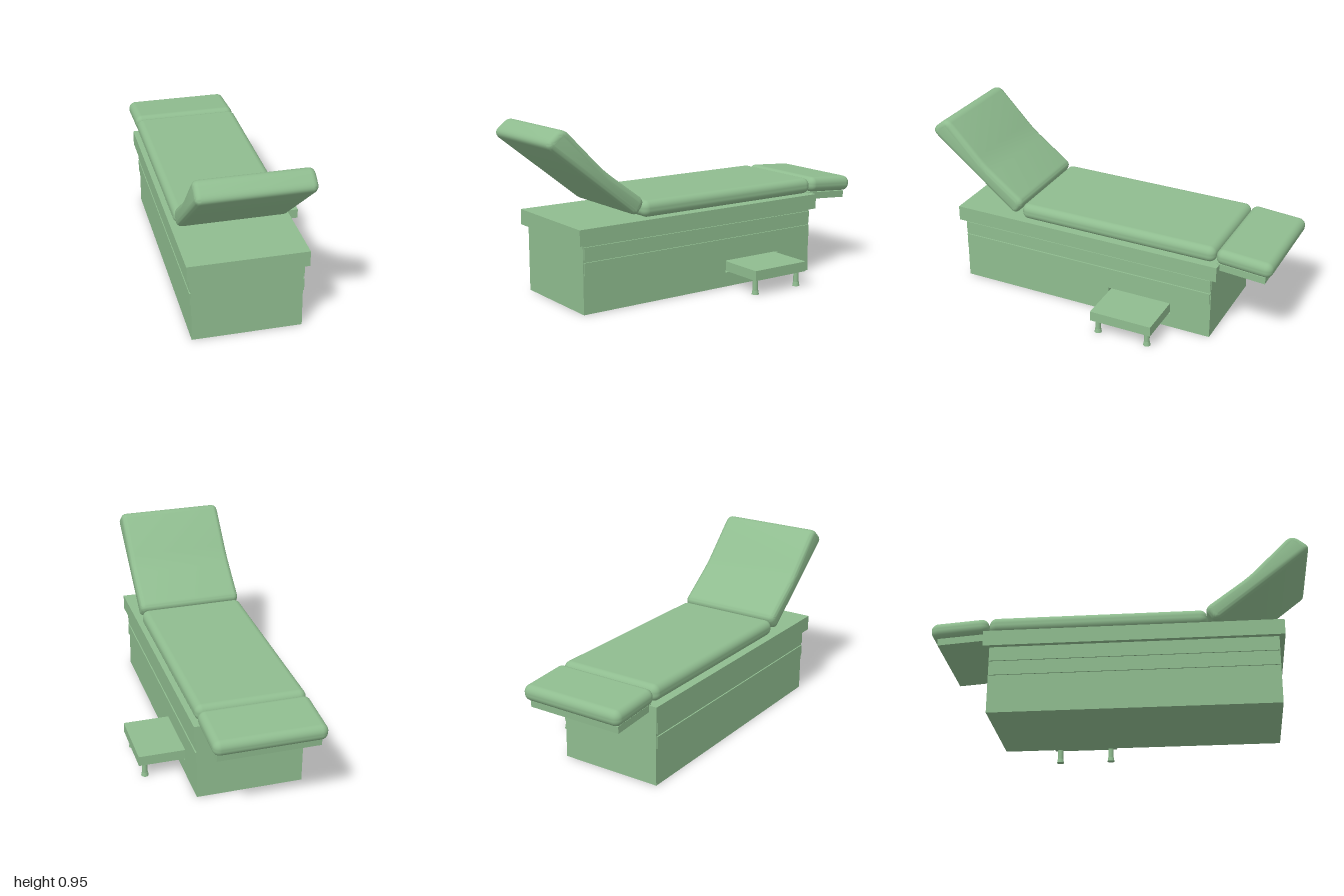
import * as THREE from 'three';
import { RoundedBoxGeometry } from 'three/addons/geometries/RoundedBoxGeometry.js';
import { toCreasedNormals } from 'three/addons/utils/BufferGeometryUtils.js';

const CENTER_X = -0.112;
const material = new THREE.MeshStandardMaterial({ color: 0x8fbc8f });

function add(parent, name, geometry, x = 0, y = 0, z = 0, tilt = 0) {
  const mesh = new THREE.Mesh(geometry, material);
  mesh.name = name;
  mesh.position.set(x, y, z);
  mesh.rotation.x = tilt;
  parent.add(mesh);
  return mesh;
}

// Box given by its extents along each axis
function addBox(parent, name, [x0, x1], [y0, y1], [z0, z1]) {
  return add(parent, name, new THREE.BoxGeometry(x1 - x0, y1 - y0, z1 - z0),
    (x0 + x1) / 2, (y0 + y1) / 2, (z0 + z1) / 2);
}

// Rectangle in the side plane (z, y)
function rectangle(Type, z0, z1, y0, y1) {
  return new Type([[z0, y0], [z1, y0], [z1, y1], [z0, y1]].map(p => new THREE.Vector2(...p)));
}

// Closed side outline whose corners are rounded by a cut distance each
function roundedOutline(corners) {
  const shape = new THREE.Shape();
  const points = corners.map(([z, y]) => new THREE.Vector2(z, y));
  const n = points.length;
  points.forEach((p, i) => {
    const cut = corners[i][2];
    const toward = q => p.clone().add(q.clone().sub(p).setLength(cut));
    const a = toward(points[(i + n - 1) % n]);
    const b = toward(points[(i + 1) % n]);
    if (i === 0) shape.moveTo(a.x, a.y);
    else shape.lineTo(a.x, a.y);
    shape.quadraticCurveTo(p.x, p.y, b.x, b.y);
  });
  shape.closePath();
  return shape;
}

export function createModel() {
  const model = new THREE.Group();
  model.name = 'examinationTable';

  // Cabinet: solid core plus a side wall holding the step recess
  const cabinet = new THREE.Group();
  cabinet.name = 'cabinet';
  model.add(cabinet);
  addBox(cabinet, 'cabinetCore', [-0.4, 0.1], [0, 0.366], [-0.68, 0.82]);
  const wall = rectangle(THREE.Shape, -0.68, 0.82, 0, 0.366);
  wall.holes.push(rectangle(THREE.Path, -0.45, -0.082, 0.08, 0.148));
  const wallGeometry = new THREE.ExtrudeGeometry(wall, { depth: 0.075, bevelEnabled: false });
  wallGeometry.rotateY(-Math.PI / 2);
  add(cabinet, 'cabinetSideWall', wallGeometry, 0.175);
  addBox(cabinet, 'tableTop', [-0.426, 0.2], [0.366, 0.45], [-0.712, 0.85]);

  // Two thin drawer fronts on each long side
  for (const side of [-1, 1]) {
    for (const y of [0.206, 0.286]) {
      const inner = CENTER_X + side * 0.28;
      const outer = CENTER_X + side * 0.295;
      addBox(cabinet, 'drawerFront', [Math.min(inner, outer), Math.max(inner, outer)],
        [y, y + 0.066], [-0.676, 0.816]);
    }
  }

  // Seat and foot cushions
  add(model, 'seatCushion', new RoundedBoxGeometry(0.59, 0.088, 1.145, 6, 0.038),
    CENTER_X, 0.498, -0.117);
  add(model, 'footCushion', new RoundedBoxGeometry(0.59, 0.085, 0.308, 6, 0.038),
    CENTER_X, 0.489, -0.846, -0.07);
  add(model, 'footSupportPlate', new THREE.BoxGeometry(0.54, 0.038, 0.27),
    CENTER_X, 0.426, -0.828, -0.07);

  // Raised backrest, thicker towards the head
  const profile = roundedOutline([
    [0.495, 0.465, 0.04],
    [1.02, 0.882, 0.05],
    [0.915, 0.967, 0.05],
    [0.68, 0.726, 0.06],
    [0.44, 0.547, 0.04],
  ]);
  const bevel = 0.03;
  const backGeometry = new THREE.ExtrudeGeometry(profile, {
    depth: 0.59 - 2 * bevel, curveSegments: 8,
    bevelThickness: bevel, bevelSize: bevel, bevelOffset: -bevel, bevelSegments: 6,
  });
  backGeometry.translate(0, 0, bevel - 0.295);
  backGeometry.rotateY(-Math.PI / 2);
  add(model, 'backrest', toCreasedNormals(backGeometry, 0.7), CENTER_X);

  // Pull-out step with two footed legs
  const step = new THREE.Group();
  step.name = 'step';
  model.add(step);
  addBox(step, 'stepBoard', [0.1, 0.424], [0.085, 0.14], [-0.444, -0.093]);
  for (const z of [-0.41, -0.122]) {
    add(step, 'stepLeg', new THREE.CylinderGeometry(0.015, 0.015, 0.068, 20), 0.385, 0.053, z);
    add(step, 'stepFoot', new THREE.CylinderGeometry(0.016, 0.02, 0.022, 20), 0.385, 0.011, z);
  }

  return model;
}
